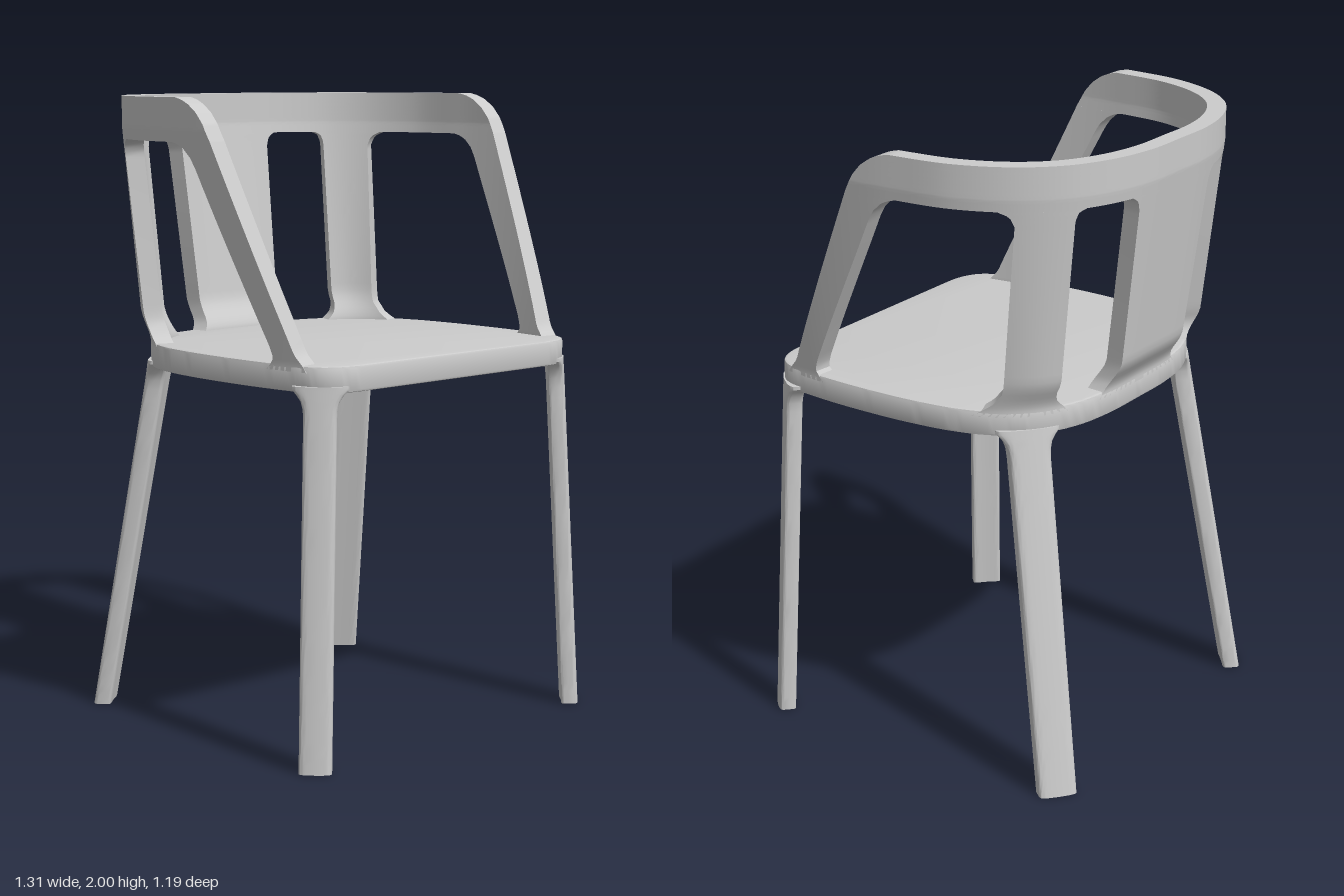
import * as THREE from 'three';
import { toCreasedNormals } from 'three/addons/utils/BufferGeometryUtils.js';

const material = new THREE.MeshStandardMaterial({ color: 0xcccccc });
const { lerp, clamp, smoothstep } = THREE.MathUtils;

const SEAT_TOP = 1.22, RAIL_LOW = 1.865, THICK = 0.06;
const STEP = 0.16, SIDE = 0.97; // outline point spacing; s - SIDE equals z along the arms

// Half outlines (x, z) from the middle of the back to the front of the arm
const rimHalf = [[0, -0.6], [0.16, -0.597], [0.315, -0.562], [0.455, -0.487], [0.562, -0.365],
  [0.63, -0.2], [0.651, -0.01], [0.655, 0.15], [0.65, 0.31], [0.64, 0.47], [0.63, 0.63]];
const seatHalf = [[0, -0.47], [0.155, -0.468], [0.305, -0.445], [0.43, -0.385], [0.515, -0.29],
  [0.562, -0.165], [0.583, -0.01], [0.588, 0.15], [0.583, 0.31], [0.566, 0.465], [0.54, 0.6]];

function outline(half) {
  const right = half.map(([x, z]) => new THREE.Vector2(x, z));
  const left = half.slice(1).reverse().map(([x, z]) => new THREE.Vector2(-x, z));
  const curve = new THREE.SplineCurve([...left, ...right]);
  const reach = (half.length - 1) * STEP;
  return (s) => curve.getPoint(clamp((s + reach) / (2 * reach), 0, 1));
}
const rim = outline(rimHalf), seatEdge = outline(seatHalf);

// Outer surface of the shell: the seat outline opens out to the rim, with a curved foot at the back
function outer(s, y) {
  const t = clamp((y - SEAT_TOP) / 0.68, 0, 1);
  const curved = 0.3 * smoothstep(t, 0, 0.15) + 0.7 * t;
  const f = lerp(curved, t, smoothstep(Math.abs(s), 0.5, 0.8));
  return seatEdge(s).lerp(rim(s), f);
}

function shellPoint(s, y, depth) {
  const p = outer(s, y);
  const t = outer(s + 0.01, y).sub(outer(s - 0.01, y)).normalize();
  return [p.x - t.y * depth, y, p.y + t.x * depth];
}

// Edge position by height, from a few [y, s] pairs
const edge = (pairs, offset = 0) => (y) => {
  const i = clamp(pairs.findIndex(([py]) => py >= y), 1, pairs.length - 1);
  const [y0, s0] = pairs[i - 1], [y1, s1] = pairs[i];
  return offset + lerp(s0, s1, clamp((y - y0) / (y1 - y0), 0, 1));
};
const armFront = edge([[1.2, 0.49], [1.22, 0.475], [1.25, 0.445], [1.87, 0.16], [1.92, 0.132],
  [1.955, 0.1], [1.98, 0.062], [1.993, 0.03], [2, 0]], SIDE);
const armBack = edge([[1.2, 0.33], [1.215, 0.345], [1.235, 0.36], [1.27, 0.348], [1.79, 0.08],
  [1.82, 0.06], [1.845, 0.032], [1.858, 0.008], [1.865, -0.02]], SIDE);
const postBack = edge([[1.2, 0.365], [1.22, 0.385], [1.24, 0.415], [1.27, 0.435], [1.83, 0.44],
  [1.855, 0.43], [1.865, 0.405]]);
const postFront = edge([[1.2, 0.74], [1.22, 0.7], [1.24, 0.66], [1.28, 0.63], [1.82, 0.62],
  [1.85, 0.635], [1.865, 0.67]]);
const panelSide = edge([[1.2, 0.225], [1.22, 0.205], [1.25, 0.187], [1.3, 0.182], [1.82, 0.2],
  [1.85, 0.21], [1.865, 0.235]]);

function bend(geometry, rule) {
  const pos = geometry.attributes.position;
  for (let i = 0; i < pos.count; i++) {
    pos.setXYZ(i, ...rule(pos.getX(i), pos.getY(i), pos.getZ(i)));
  }
  return toCreasedNormals(geometry, 0.6);
}

// Rows are packed closer at both ends, where the fillets are
const spread = (v, y0, y1) => lerp(y0, y1, 0.5 - 0.5 * Math.cos(Math.PI * (v + 0.5)));

function addMesh(group, name, geometry) {
  const mesh = new THREE.Mesh(geometry, material);
  mesh.name = name;
  group.add(mesh);
}

// Piece of the bent shell between two edges and two heights
function shellPiece(from, to, y0, y1, columns) {
  return bend(new THREE.BoxGeometry(1, 1, 1, columns, 36, 1), (u, v, w) => {
    const y = spread(v, y0, y1);
    return shellPoint(lerp(from(y), to(y), u + 0.5), y, (w + 0.5) * THICK);
  });
}

// Tapered leg with a rounded section that flares into the seat
function leg(side, { foot, top, normal, footSize, topSize, curve }) {
  const n = new THREE.Vector2(normal[0] * side, normal[1]).normalize();
  return bend(new THREE.CylinderGeometry(1, 1, 1, 40, 32), (x, v, z) => {
    const y = spread(v, 0, 1.16), t = y / 1.14;
    const square = (c) => Math.sign(c) * Math.pow(Math.abs(c), 0.32);
    const g = clamp((y - 1.07) / 0.07, 0, 1);
    const flare = 0.035 * (1 - Math.sqrt(1 - g * g));
    const a = square(x) * (lerp(footSize[0], topSize[0], t) / 2 + flare);
    const d = square(z) * lerp(footSize[1], topSize[1], t) / 2 - curve * a * a;
    return [side * lerp(foot[0], top[0], t) + n.y * a + n.x * d, y,
      lerp(foot[1], top[1], t) - n.x * a + n.y * d];
  });
}

function seatGeometry() {
  const shape = new THREE.Shape();
  const points = [];
  for (let i = -60; i <= 60; i++) points.push(seatEdge((i / 60) * 1.4));
  const last = points[points.length - 1];
  shape.setFromPoints(points);
  shape.quadraticCurveTo(0.565, 0.57, 0.4, 0.57);
  shape.lineTo(-0.4, 0.57);
  shape.quadraticCurveTo(-0.565, 0.57, -last.x, last.y);
  const geometry = new THREE.ExtrudeGeometry(shape, { depth: 0.064, bevelThickness: 0.008,
    bevelSize: 0.008, bevelOffset: -0.008, bevelSegments: 2, curveSegments: 16 });
  geometry.rotateX(Math.PI / 2).translate(0, SEAT_TOP - 0.008, 0);
  return toCreasedNormals(geometry, 0.6);
}

export function createModel() {
  const chair = new THREE.Group();
  chair.name = 'armchair';

  addMesh(chair, 'seat', seatGeometry());

  // Back and arms
  const minus = (f) => (y) => -f(y);
  addMesh(chair, 'topRail', shellPiece(minus(armFront), armFront, RAIL_LOW, 2, 120));
  addMesh(chair, 'backPanel', shellPiece(minus(panelSide), panelSide, 1.2, RAIL_LOW, 16));
  const frontLeg = { foot: [0.58, 0.54], top: [0.525, 0.505], normal: [0.72, 0.69],
    footSize: [0.1, 0.055], topSize: [0.1, 0.055], curve: 2 };
  const rearLeg = { foot: [0.54, -0.53], top: [0.44, -0.347], normal: [0.64, -0.77],
    footSize: [0.122, 0.058], topSize: [0.13, 0.065], curve: 1 };
  for (const side of [1, -1]) {
    const name = side > 0 ? 'left' : 'right';
    const piece = (a, b, columns) => (side > 0
      ? shellPiece(a, b, 1.2, RAIL_LOW, columns)
      : shellPiece(minus(b), minus(a), 1.2, RAIL_LOW, columns));
    addMesh(chair, name + 'BackPost', piece(postBack, postFront, 12));
    addMesh(chair, name + 'ArmSupport', piece(armBack, armFront, 8));
    addMesh(chair, name + 'FrontLeg', leg(side, frontLeg));
    addMesh(chair, name + 'RearLeg', leg(side, rearLeg));
  }
  return chair;
}
